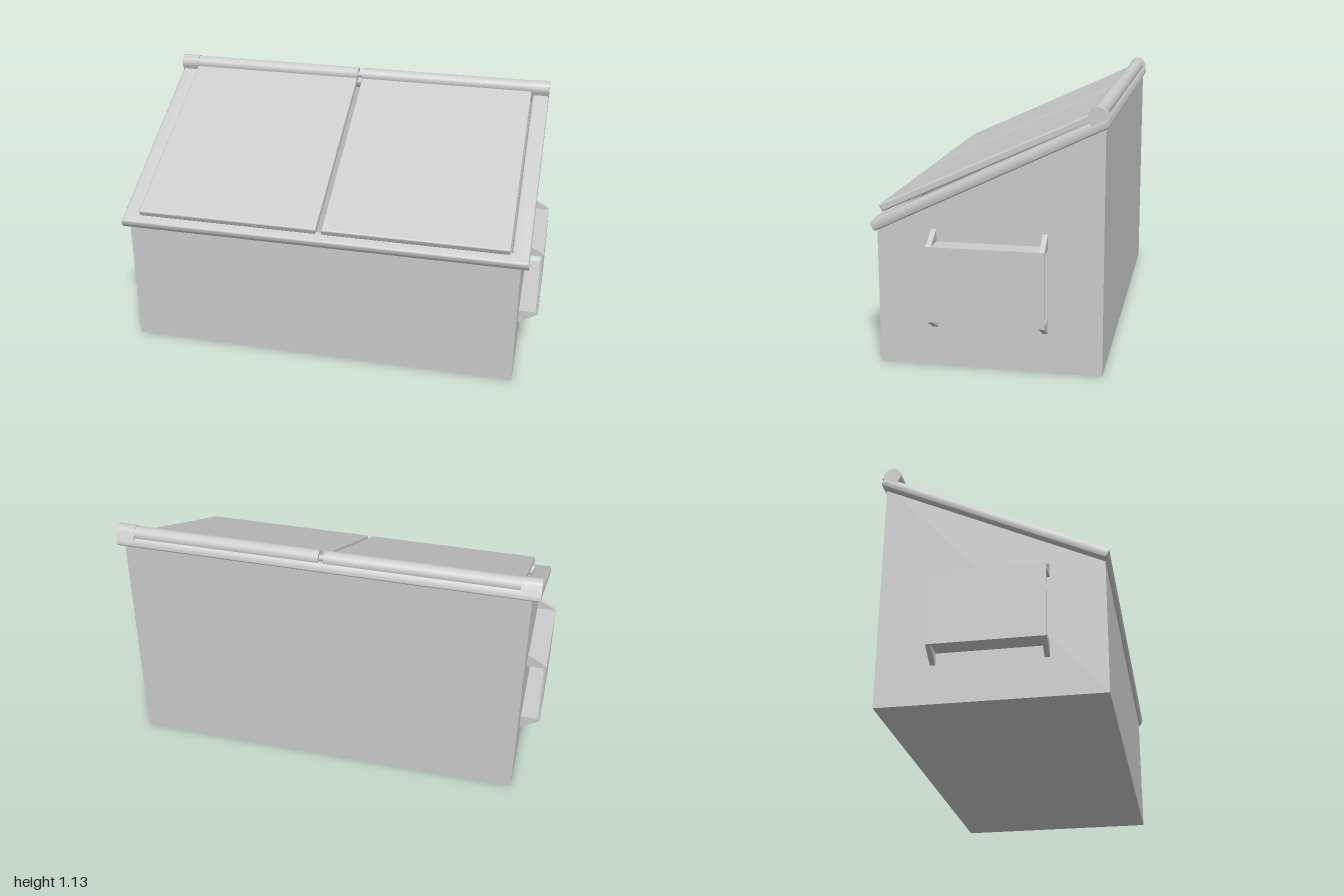
import * as THREE from 'three';
import { toCreasedNormals } from 'three/addons/utils/BufferGeometryUtils.js';
import { RoundedBoxGeometry } from 'three/addons/geometries/RoundedBoxGeometry.js';

const material = new THREE.MeshStandardMaterial({ color: 0xcccccc });
const SLOPE = THREE.MathUtils.degToRad(25.5);
const RIM_Y = 0.839; // height of the rim's centre plane at z = 0
const HALF_W = 0.91, FRONT = 0.475, BACK = -0.48, WALL = 0.02;

const slopeY = (z) => RIM_Y - z * Math.tan(SLOPE);

function add(parent, name, geometry, x = 0, y = 0, z = 0) {
  const mesh = new THREE.Mesh(geometry, material);
  mesh.name = name;
  mesh.position.set(x, y, z);
  parent.add(mesh);
  return mesh;
}

const polygon = (points) => new THREE.Shape(points.map(([x, y]) => new THREE.Vector2(x, y)));
const rectangle = (w, h) => polygon([[-w, -h], [w, -h], [w, h], [-w, h]]);
const prism = (shape, depth) => new THREE.ExtrudeGeometry(shape, { depth, bevelEnabled: false, curveSegments: 16 });

// Hollow bin with a slanted top edge
function createBody() {
  const body = new THREE.Group();
  body.name = 'body';
  const profile = polygon([[-FRONT, 0], [-BACK, 0], [-BACK, slopeY(BACK)], [-FRONT, slopeY(FRONT)]]);
  const side = prism(profile, WALL).rotateY(Math.PI / 2);
  add(body, 'leftWall', side, HALF_W - WALL);
  add(body, 'rightWall', side, -HALF_W);
  const inner = 2 * (HALF_W - WALL);
  const frontH = slopeY(FRONT), backH = slopeY(BACK) - 0.01;
  add(body, 'frontWall', new THREE.BoxGeometry(inner, frontH, WALL), 0, frontH / 2, FRONT - WALL / 2);
  add(body, 'backWall', new THREE.BoxGeometry(inner, backH, WALL), 0, backH / 2, BACK + WALL / 2);
  add(body, 'floor', new THREE.BoxGeometry(inner, WALL, FRONT - BACK - 2 * WALL), 0, WALL / 2, (FRONT + BACK) / 2);
  return body;
}

// Rounded frame and hinge, built flat and then tilted
function createRim() {
  const top = new THREE.Group();
  top.name = 'slantedTop';
  top.position.y = RIM_Y;
  top.rotation.x = SLOPE;

  const bevel = 0.012, thickness = 0.047;
  const frame = rectangle(0.945, 0.5415);
  frame.holes.push(rectangle(0.865, 0.478));
  const frameGeometry = new THREE.ExtrudeGeometry(frame, {
    depth: thickness - 2 * bevel, bevelThickness: bevel, bevelSize: bevel, bevelOffset: -bevel, bevelSegments: 4,
  }).translate(0, 0, bevel - thickness / 2).rotateX(-Math.PI / 2);
  add(top, 'rim', toCreasedNormals(frameGeometry, 0.6));

  // Hinge: arched end brackets, one roll per lid and a thin rod through both
  const hingeY = 0.039, hingeZ = -0.514, r = 0.037;
  const arch = new THREE.Shape();
  arch.moveTo(-r, -0.03);
  arch.lineTo(r, -0.03);
  arch.lineTo(r, 0);
  arch.absarc(0, 0, r, 0, Math.PI, false);
  const bracket = toCreasedNormals(prism(arch, 0.085).translate(0, 0, -0.0425).rotateY(Math.PI / 2), 0.6);
  const roll = new THREE.CylinderGeometry(0.034, 0.034, 0.848, 24).rotateZ(Math.PI / 2);
  for (const s of [1, -1]) {
    add(top, 'hingeBracket', bracket, s * 0.9025, hingeY, hingeZ);
    add(top, 'hingeRoll', roll, s * 0.436, hingeY, hingeZ);
  }
  add(top, 'hingeRod', new THREE.CylinderGeometry(0.015, 0.015, 1.75, 16).rotateZ(Math.PI / 2), 0, hingeY, hingeZ);
  return top;
}

// Side sleeve for lifting forks, open at front and back
function createForkPocket(side) {
  const pocket = new THREE.Group();
  pocket.name = side > 0 ? 'leftForkPocket' : 'rightForkPocket';
  pocket.position.z = -0.004;
  pocket.rotation.y = side > 0 ? 0 : Math.PI;
  const length = 0.492, t = 0.012, earW = 0.022;
  const low = 0.223, high = 0.547;
  add(pocket, 'outerPlate', new THREE.BoxGeometry(t, high - low, length), 1 - t / 2, (low + high) / 2, 0);
  add(pocket, 'topPlate', new THREE.BoxGeometry(0.09, t, length), 0.949, high - t / 2, 0);
  add(pocket, 'bottomPlate', new THREE.BoxGeometry(0.09, t, length), 0.949, low + t / 2, 0);
  // Triangular gussets at the four corners
  const upper = prism(polygon([[0.905, high - t], [1, high - t], [1, high], [0.905, 0.602]]), earW);
  const lower = prism(polygon([[0.905, 0.168], [1, low], [1, low + t], [0.905, low + t]]), earW);
  for (const z of [-length / 2, length / 2 - earW]) {
    add(pocket, 'upperGusset', upper, 0, 0, z);
    add(pocket, 'lowerGusset', lower, 0, 0, z);
  }
  return pocket;
}

export function createModel() {
  const model = new THREE.Group();
  model.name = 'wasteContainer';
  model.add(createBody(), createRim());

  // Pair of lids lying just above the rim
  const lid = new RoundedBoxGeometry(0.848, 0.034, 0.984, 3, 0.008);
  for (const s of [1, -1]) {
    add(model, s > 0 ? 'leftLid' : 'rightLid', lid, s * 0.436, 0.87, 0.03).rotation.x = THREE.MathUtils.degToRad(24.7);
    model.add(createForkPocket(s));
  }
  return model;
}
